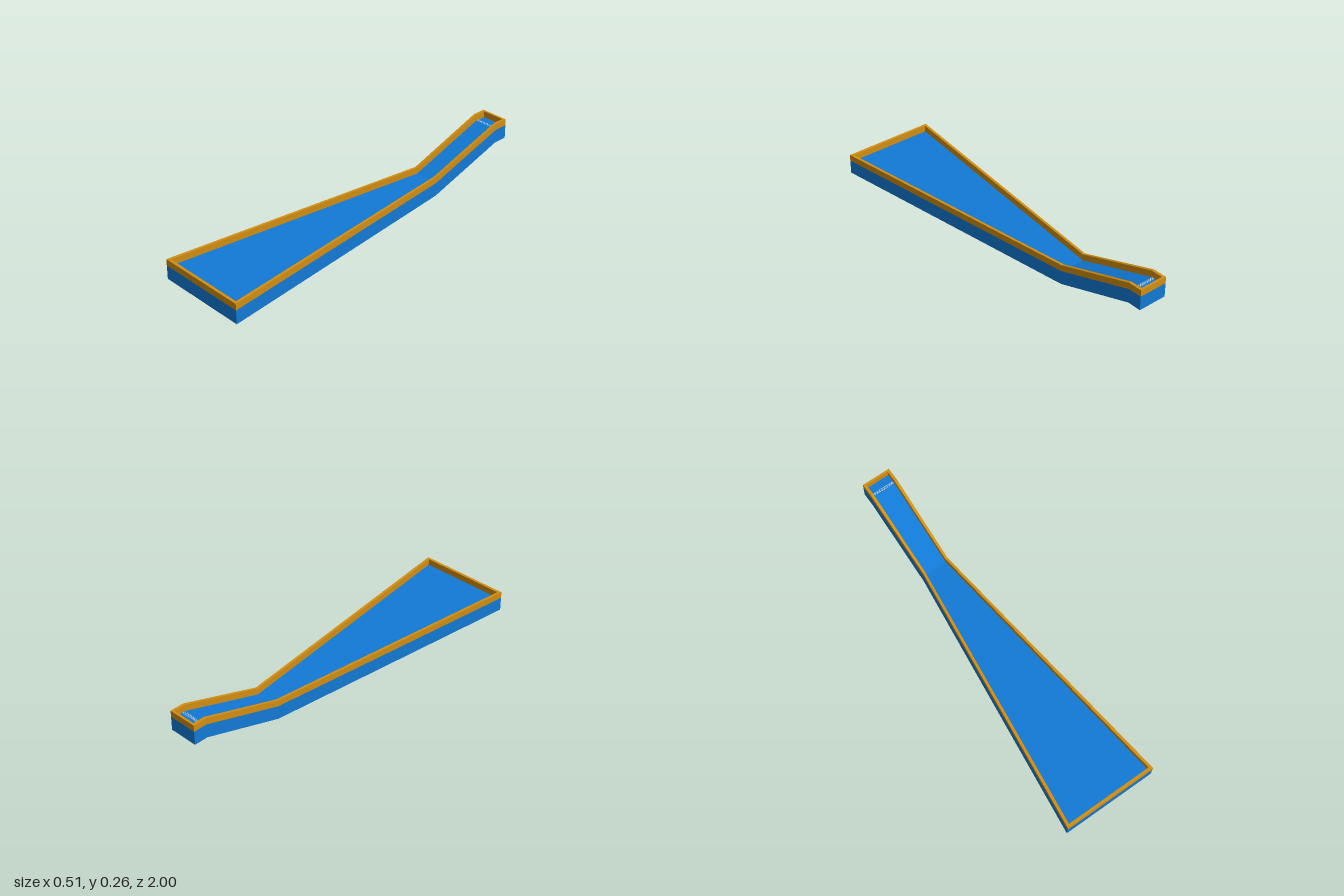
import * as THREE from 'three';
import { mergeGeometries } from 'three/addons/utils/BufferGeometryUtils.js';

const BLUE = 0x127ad6, ORANGE = 0xd28e12, WHITE = 0xffffff;
const FLOOR = 0.075, TOP = 0.11;

// Stations along the lane: z, outer half width, inner half width, base height
const lane = [
  { z: 1, out: 0.255, inn: 0.24, y: 0 },
  { z: -0.43, out: 0.081, inn: 0.068, y: 0 },
  { z: -0.477, out: 0.075, inn: 0.062, y: 0 },
  { z: -0.925, out: 0.079, inn: 0.064, y: 0.15 },
  { z: -1, out: 0.079, inn: 0.064, y: 0.15 },
];

// Flat-shaded geometry from four-cornered faces
function quads(faces) {
  const pos = faces.flatMap(([a, b, c, d]) => [a, b, c, a, c, d].flat());
  const g = new THREE.BufferGeometry();
  g.setAttribute('position', new THREE.Float32BufferAttribute(pos, 3));
  g.computeVertexNormals();
  return g;
}

// Joins four-point loops (counter-clockwise seen from +z, running towards -z);
// keep(side, segment) can leave a face out
function loft(loops, keep = () => true) {
  const faces = [loops[0], [...loops[loops.length - 1]].reverse()];
  for (let s = 0; s < loops.length - 1; s++) {
    for (let i = 0; i < 4; i++) {
      const j = (i + 1) % 4;
      if (keep(i, s)) faces.push([loops[s][j], loops[s][i], loops[s + 1][i], loops[s + 1][j]]);
    }
  }
  return quads(faces);
}

// Rectangular cross-section at one station
const rect = (x0, x1, y0, y1, z) => [[x0, y0, z], [x1, y0, z], [x1, y1, z], [x0, y1, z]];

export function createModel() {
  const group = new THREE.Group();
  const add = (name, geometry, color) => {
    const material = new THREE.MeshStandardMaterial({ color, side: THREE.DoubleSide });
    const mesh = new THREE.Mesh(geometry, material);
    mesh.name = name;
    group.add(mesh);
  };

  // Hollow lane bed, with a narrow open slot underneath at the foot of the ramp
  add('laneBed', loft(
    lane.map(s => rect(-s.out, s.out, s.y, s.y + FLOOR, s.z)),
    (side, segment) => !(side === 0 && segment === 1)
  ), BLUE);

  // Side rails follow the taper and the ramp
  for (const [name, sign] of [['leftRail', 1], ['rightRail', -1]]) {
    add(name, loft(lane.map(s => {
      const [x0, x1] = sign > 0 ? [s.inn, s.out] : [-s.out, -s.inn];
      return rect(x0, x1, s.y + FLOOR, s.y + TOP, s.z);
    })), ORANGE);
  }

  // End rails close the two short sides
  const endRail = (s, z0, z1) => loft([z0, z1].map(z =>
    rect(-s.inn, s.inn, s.y + FLOOR, s.y + TOP, z)));
  add('frontRail', endRail(lane[0], 1, 0.985), ORANGE);
  add('backRail', endRail(lane[4], -0.988, -1), ORANGE);

  // Checkered line across the upper platform
  const columns = 24, cell = 0.128 / columns, cells = [];
  for (let row = 0; row < 3; row++) {
    for (let col = row % 2; col < columns; col += 2) {
      cells.push(new THREE.PlaneGeometry(cell, cell).rotateX(-Math.PI / 2)
        .translate(-0.064 + (col + 0.5) * cell, 0.15 + FLOOR + 0.001, -0.943 + row * cell));
    }
  }
  add('checkeredLine', mergeGeometries(cells), WHITE);

  return group;
}
